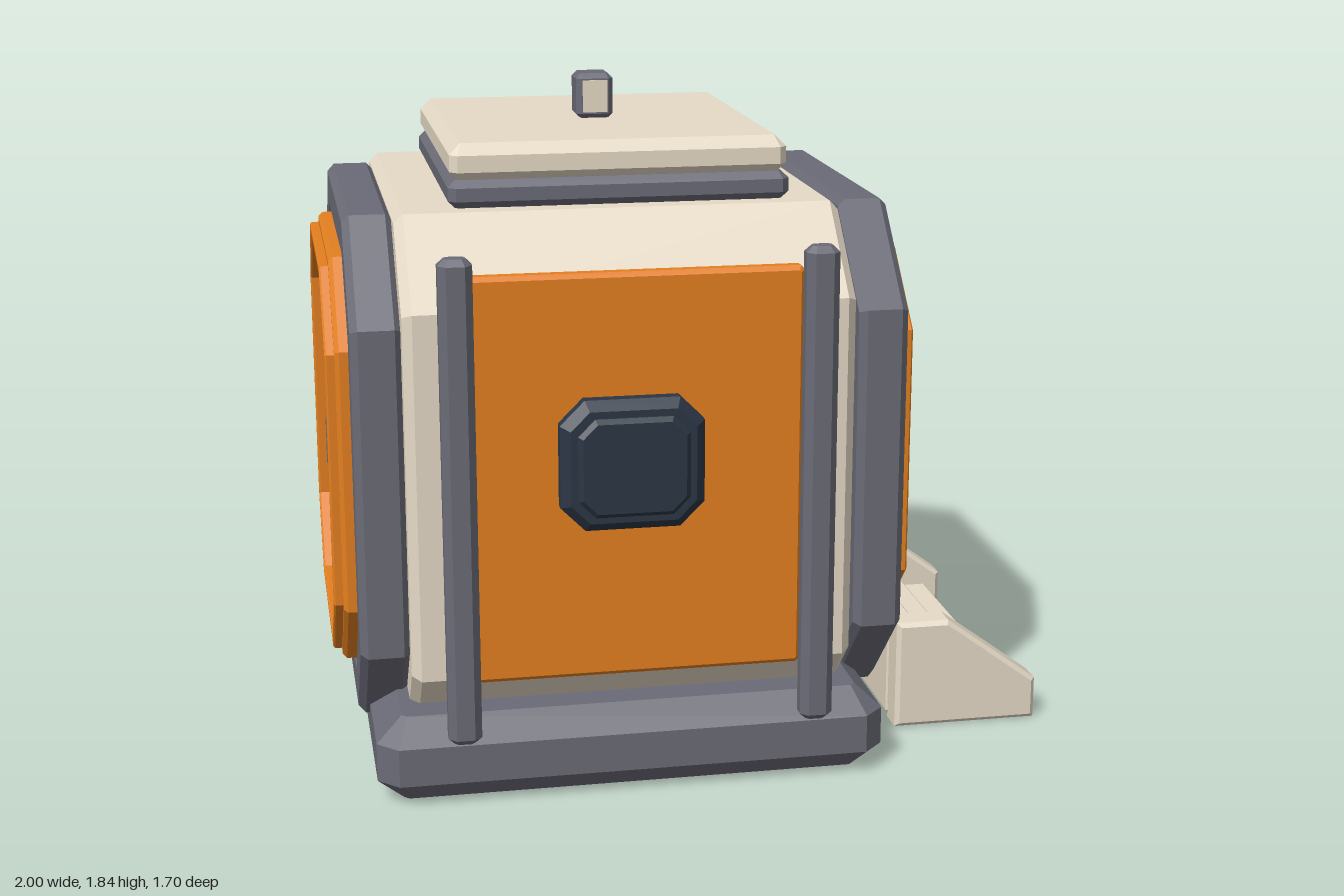
import * as THREE from 'three';

const mat = (name, color) => {
  const m = new THREE.MeshStandardMaterial({ color });
  m.name = name;
  return m;
};

// Polygon points of a rectangle with cut corners (half width, half height, cut)
const octPoints = (w, h, c) => [
  [w, h - c], [w - c, h], [c - w, h], [-w, h - c],
  [-w, c - h], [c - w, -h], [w - c, -h], [w, c - h],
].map(([x, y]) => new THREE.Vector2(x, y));

const octShape = (w, h, c, hole) => {
  const s = new THREE.Shape(octPoints(w, h, c));
  if (hole) s.holes.push(new THREE.Path(octPoints(...hole).reverse()));
  return s;
};

// Extrusion from z0 to z1 whose bevel stays inside the outline
const slab = (shape, z0, z1, size = 0.015, thick = size) =>
  new THREE.ExtrudeGeometry(shape, {
    depth: z1 - z0 - 2 * thick, bevelEnabled: true, bevelSegments: 1,
    bevelSize: size, bevelOffset: -size, bevelThickness: thick,
  }).translate(0, 0, z0 + thick);

// Same, but standing along y: outline lies in the xz plane
const column = (shape, y0, y1, size, thick) => slab(shape, y0, y1, size, thick).rotateX(-Math.PI / 2);

export function createModel() {
  const beige = mat('beige panel', 0xe6dac6);
  const orange = mat('orange panel', 0xe37f20);
  const grey = mat('slate grey', 0x6b6b77);
  const navy = mat('dark navy', 0x2b3644);

  const root = new THREE.Group();
  root.name = 'habitatModule';
  const add = (parent, name, geo, material, x = 0, y = 0, z = 0) => {
    const m = new THREE.Mesh(geo, material);
    m.name = name;
    m.position.set(x, y, z);
    parent.add(m);
    return m;
  };
  const CX = -0.2, CY = 0.83;

  // Base plinth
  add(root, 'base', column(octShape(0.69, 0.805, 0.055), 0, 0.235, 0.07, 0.065), grey, CX - 0.02);

  // Hollow eight-sided hull
  const hull = slab(octShape(0.75, 0.715, 0.22, [0.61, 0.61, 0.18]), -0.595, 0.595, 0.025);
  add(root, 'hull', hull.rotateY(Math.PI / 2), beige, CX - 0.015, CY);

  // Door ends: built facing +z, then turned to +x and -x
  for (const side of [1, -1]) {
    const end = new THREE.Group();
    end.name = side > 0 ? 'leftDoorEnd' : 'rightDoorEnd';
    end.position.set(CX, CY, 0);
    end.rotation.y = side * Math.PI / 2;
    root.add(end);
    add(end, 'outerRing', slab(octShape(0.69, 0.7, 0.255, [0.555, 0.57, 0.18]), 0.605, 0.74, 0.02), grey);
    add(end, 'doorFrame', slab(octShape(0.553, 0.572, 0.212, [0.497, 0.527, 0.178]), 0.62, 0.775, 0.012), orange);
    add(end, 'doorFrameLip', slab(octShape(0.527, 0.545, 0.198, [0.494, 0.522, 0.18]), 0.7, 0.8, 0.005), orange);
    add(end, 'doorTrim', slab(octShape(0.485, 0.515, 0.175), 0.69, 0.748, 0.005), navy);
    for (const s of [1, -1]) {
      const pts = [[0.006, -0.498], [0.315, -0.498], [0.474, -0.337], [0.474, 0.337], [0.315, 0.498], [0.006, 0.498]]
        .map(([x, y]) => new THREE.Vector2(s * x, y));
      add(end, 'doorLeaf', slab(new THREE.Shape(pts), 0.7, 0.762, 0.008), grey);
      add(end, 'doorHandle', slab(octShape(0.016, 0.078, 0.01), 0.755, 0.785, 0.006), grey, s * 0.063, -0.045);
    }
  }

  // Front and back walls: orange panel, window and two posts
  for (const side of [1, -1]) {
    const wall = new THREE.Group();
    wall.name = side > 0 ? 'frontWall' : 'backWall';
    root.add(wall);
    add(wall, 'wallPanel', slab(octShape(0.462, 0.547, 0.012), -0.025, 0.025, 0.012), orange, -0.228, 0.873, side * 0.744);
    const win = new THREE.Group();
    win.name = 'window';
    win.position.set(-0.23, 0.922, side * 0.75);
    win.rotation.y = side > 0 ? 0 : Math.PI;
    wall.add(win);
    add(win, 'windowFrame', slab(octShape(0.19, 0.175, 0.065), 0, 0.082, 0.025), navy);
    add(win, 'windowPane', slab(octShape(0.147, 0.132, 0.045), 0.03, 0.1, 0.012), navy);
    for (const x of [-0.68, 0.267])
      add(wall, 'post', column(octShape(0.044, 0.036, 0.02), 0.18, 1.48, 0.017), grey, x, 0, side * 0.8);
  }

  // Roof hatch and beacon
  add(root, 'roofSeal', column(octShape(0.459, 0.488, 0.02), 1.544, 1.62, 0.02), grey, -0.203);
  add(root, 'roofHatch', column(octShape(0.453, 0.482, 0.02), 1.61, 1.715, 0.03), beige, -0.203);
  add(root, 'beacon', column(octShape(0.052, 0.055, 0.014), 1.713, 1.84, 0.014), grey, -0.205);
  add(root, 'beaconLens', new THREE.BoxGeometry(0.07, 0.09, 0.006), beige, -0.205, 1.777, 0.055);

  // Entry steps with side walls
  const stairs = new THREE.Group();
  stairs.name = 'stairs';
  root.add(stairs);
  const sideShape = new THREE.Shape([[0.583, 0], [1, 0], [1, 0.12], [0.735, 0.315], [0.583, 0.315]]
    .map(([x, y]) => new THREE.Vector2(x, y)));
  for (const s of [1, -1])
    add(stairs, 'stairSide', slab(sideShape, -0.048, 0.048, 0.012), beige, 0, 0, s * 0.467);
  [[0.583, 0.705, 0.24], [0.71, 0.825, 0.165], [0.83, 0.95, 0.09]].forEach(([x0, x1, h]) =>
    add(stairs, 'step', column(octShape((x1 - x0) / 2, 0.415, 0.005), 0.004, h, 0.008), beige, (x0 + x1) / 2));

  return root;
}
